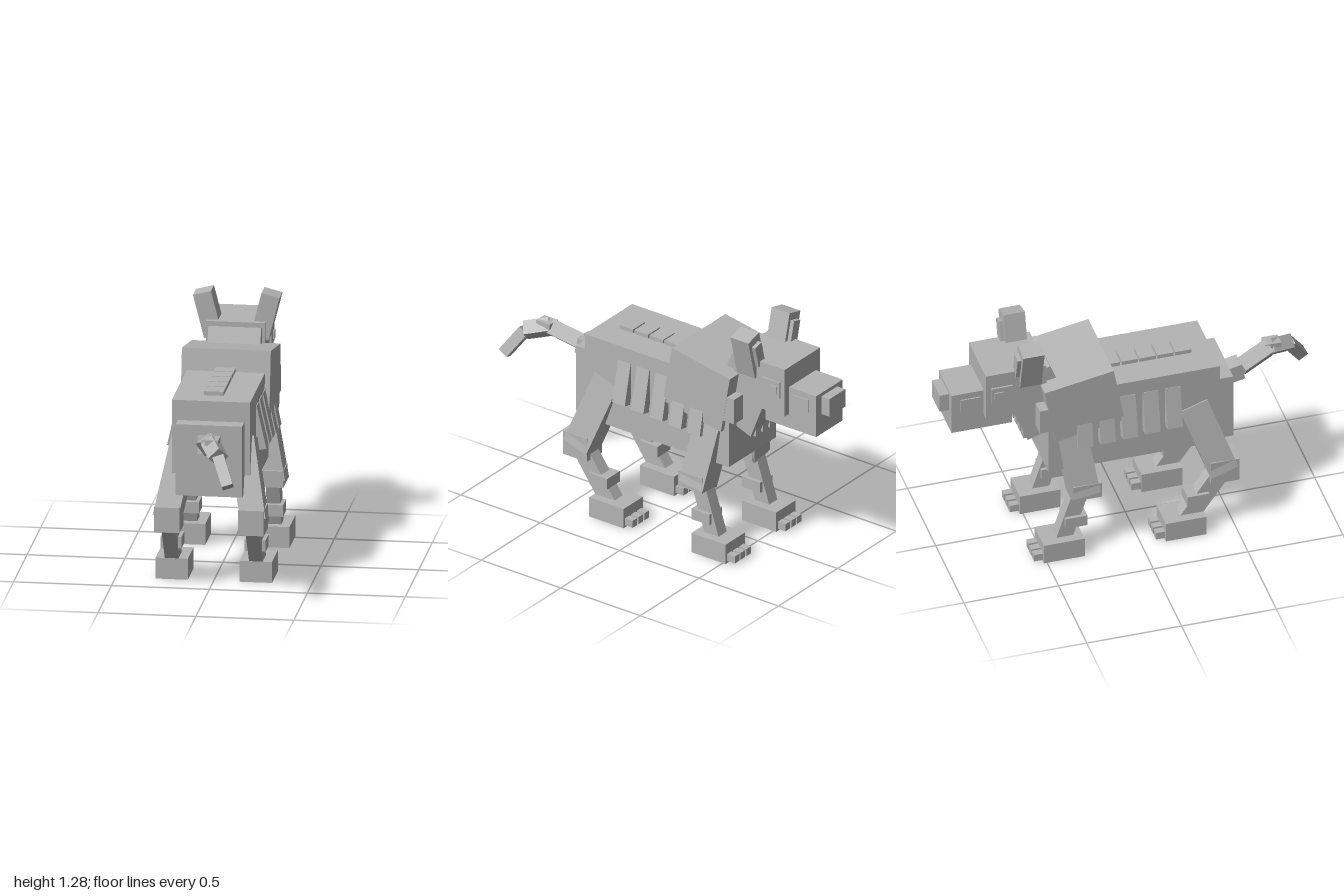
import * as THREE from 'three';

export function createModel() {
  const model = new THREE.Group();
  const stone = new THREE.MeshStandardMaterial({ color: 0xb4b4b4 });
  stone.name = 'stone grey';

  // Box given by its limits on each axis
  function box(name, x0, x1, y0, y1, z0, z1) {
    const m = new THREE.Mesh(new THREE.BoxGeometry(Math.abs(x1 - x0), y1 - y0, Math.abs(z1 - z0)), stone);
    m.position.set((x0 + x1) / 2, (y0 + y1) / 2, (z0 + z1) / 2);
    m.name = name;
    model.add(m);
    return m;
  }

  // Box stretched between two points, optionally rolled about its length
  function limb(name, from, to, w, d, roll = 0) {
    const a = new THREE.Vector3(...from), b = new THREE.Vector3(...to);
    const Y = b.clone().sub(a);
    const len = Y.length();
    Y.normalize();
    const Z = new THREE.Vector3(1, 0, 0).cross(Y).normalize();
    const X = Y.clone().cross(Z);
    const m = new THREE.Mesh(new THREE.BoxGeometry(w, len, d), stone);
    m.quaternion.setFromRotationMatrix(new THREE.Matrix4().makeBasis(X, Y, Z));
    m.rotateY(roll);
    m.position.copy(a).add(b).multiplyScalar(0.5);
    m.name = name;
    model.add(m);
    return m;
  }

  // Torso, rump and shoulder mane
  box('body', -0.2, 0.2, 0.497, 0.973, -0.465, 0.44);
  box('rump', -0.17, 0.17, 0.495, 0.868, 0.38, 0.52);
  const mane = box('mane', -0.227, 0.227, 0.73, 1.055, -0.466, -0.096);
  mane.rotation.x = -0.175;

  // Spine plates
  for (let i = 0; i < 5; i++) {
    const z = 0.335 - i * 0.094;
    box('spinePlate', -0.05, 0.05, 0.95, 0.994, z - 0.086, z);
  }

  // Neck with a fringe along its lower edge
  const neck = box('neck', -0.135, 0.135, 0.708, 1.078, -0.63, -0.36);
  neck.rotation.x = -0.37;
  for (let i = 0; i < 4; i++) {
    const x = -0.09 + i * 0.06;
    box('neckFringe', x - 0.02, x + 0.02, 0.667, 0.72, -0.57, -0.53);
  }

  // Head
  box('skull', -0.15, 0.15, 0.866, 1.133, -0.78, -0.46);
  box('muzzle', -0.113, 0.113, 0.786, 1.02, -0.95, -0.63);
  box('nose', -0.068, 0.068, 0.9, 1.0, -1.0, -0.94);

  for (const s of [-1, 1]) {
    // Face details
    box('eyeSocket', s * 0.14, s * 0.16, 0.963, 1.053, -0.753, -0.64);
    box('eye', s * 0.14, s * 0.167, 0.984, 1.027, -0.737, -0.69);
    box('muzzlePlate', s * 0.1, s * 0.12, 0.915, 0.985, -0.903, -0.8);
    box('cheekTuft', s * 0.15, s * 0.226, 0.77, 0.91, -0.517, -0.44);
    limb('ear', [s * 0.118, 1.045, -0.547], [s * 0.175, 1.27, -0.547], 0.095, 0.113);
    limb('innerEar', [s * 0.134, 1.11, -0.612], [s * 0.165, 1.232, -0.612], 0.055, 0.026);

    // Ribs flaring outward at the bottom
    for (let i = 0; i < 5; i++) {
      const z = 0.19 - i * 0.118;
      const low = 0.668 - i * 0.006;
      limb('rib', [s * 0.232, low, z], [s * 0.182, 0.89, z], 0.045, 0.08);
    }

    // Hind leg and front leg
    const x = s * 0.215;
    limb('thigh', [s * 0.145, 0.745, 0.305], [s * 0.224, 0.35, 0.445], 0.13, 0.15);
    limb('upperFrontLeg', [s * 0.145, 0.75, -0.345], [s * 0.224, 0.355, -0.287], 0.13, 0.15);
    box('hindKnee', s * 0.15, s * 0.28, 0.295, 0.427, 0.37, 0.52);
    box('frontKnee', s * 0.15, s * 0.28, 0.343, 0.43, -0.356, -0.206);
    limb('hindShin', [x, 0.35, 0.447], [x, 0.07, 0.25], 0.07, 0.1);
    limb('frontShin', [x, 0.385, -0.303], [x, 0.075, -0.404], 0.07, 0.085);
    for (const [part, ankleZ, pawZ] of [['hind', 0.25, 0.126], ['front', -0.394, -0.517]]) {
      box(part + 'Ankle', s * 0.161, s * 0.268, 0.17, 0.23, ankleZ, ankleZ + 0.115);
      box(part + 'Paw', s * 0.132, s * 0.298, 0, 0.11, pawZ, pawZ + 0.215);
      for (const t of [-0.05, 0, 0.05]) {
        box(part + 'Toe', x + t - 0.019, x + t + 0.019, 0.012, 0.052, pawZ - 0.048, pawZ + 0.01);
      }
    }
  }

  // Tail in four rolled segments
  const tail = [[0, 0.765, 0.5], [0, 0.79, 0.61], [0.045, 0.845, 0.77], [0.1, 0.81, 0.89], [0.16, 0.68, 0.975]];
  const thick = [0.092, 0.08, 0.075, 0.058];
  thick.forEach((t, i) => limb('tailSegment', tail[i], tail[i + 1], t, t, i === 1 || i === 2 ? 0.7 : 0));
  box('tailTuft', 0.02, 0.09, 0.85, 0.88, 0.745, 0.83);

  return model;
}
